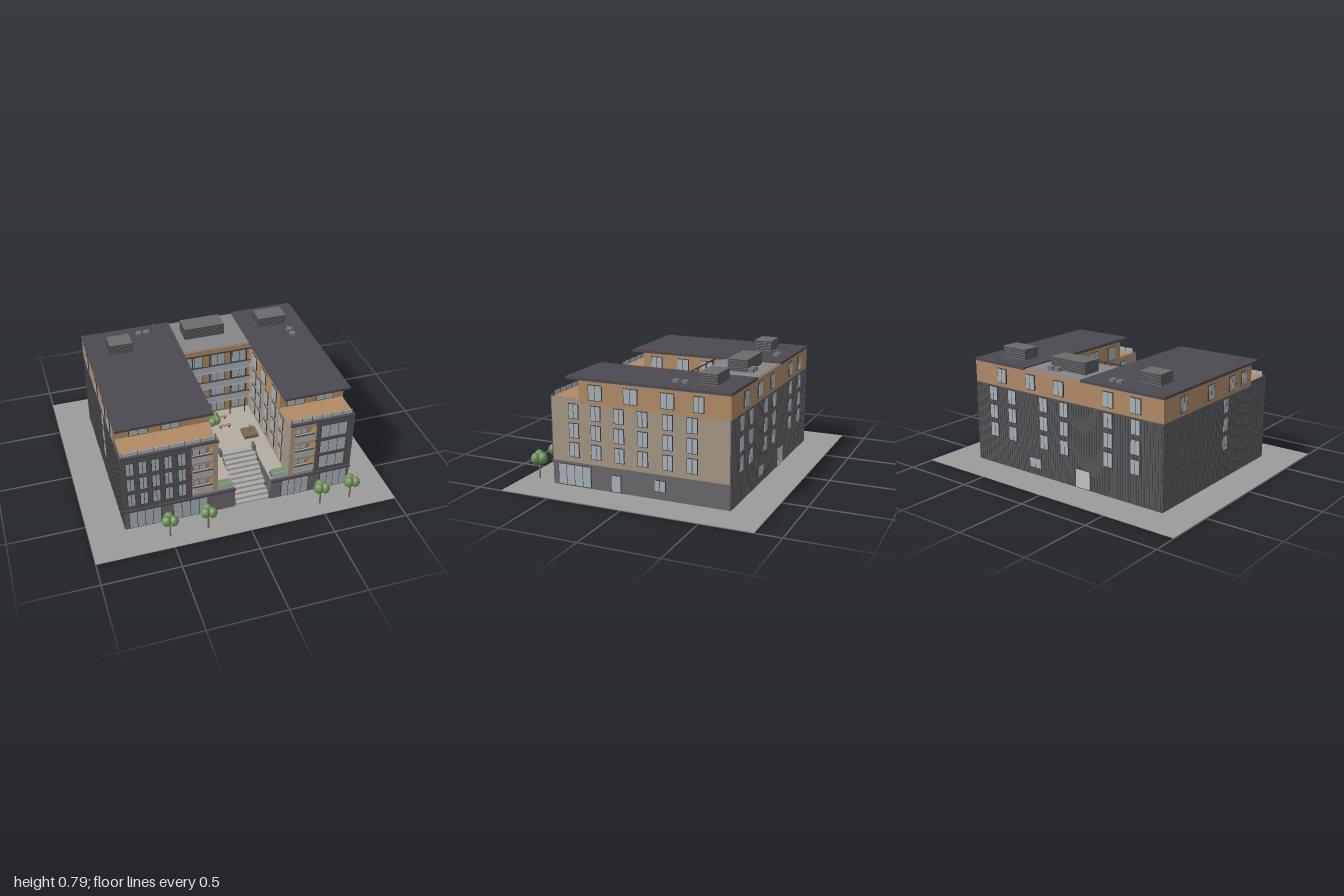
import * as THREE from 'three';

const mats = {};
const mat = (c, flat) => mats[c] ??= new THREE.MeshStandardMaterial({ color: c, flatShading: !!flat });
const DARK = 0x565659, ROOF = 0x4a4a50, PODIUM = 0x69696c, BEIGE = 0xa49683, WOOD = 0xb08a64,
  GLASS = 0xa6b1b6, FRAME = 0x3c3c40, PAVE = 0xb3aca0, PALE = 0xc2c1bc, UNIT = 0x6b6b6e,
  GREEN = 0x6f9458, BARK = 0x7d6750;

export function createModel() {
  const root = new THREE.Group();
  root.name = 'apartmentBlock';

  // Box from minimum and maximum corners
  function box(name, color, x0, x1, y0, y1, z0, z1, parent = root) {
    const m = new THREE.Mesh(new THREE.BoxGeometry(x1 - x0, y1 - y0, z1 - z0), mat(color));
    m.position.set((x0 + x1) / 2, (y0 + y1) / 2, (z0 + z1) / 2);
    m.name = name;
    parent.add(m);
    return m;
  }

  // Wall frames: local z points out of the wall, u is the world coordinate along it
  const faces = {
    front: { rot: 0, s: 1 }, back: { rot: Math.PI, s: -1 },
    left: { rot: Math.PI / 2, s: -1 }, right: { rot: -Math.PI / 2, s: 1 },
  };
  function wall(face, at) {
    const g = new THREE.Group(), f = faces[face];
    g.name = face + 'WallOpenings';
    g.rotation.y = f.rot;
    if (face === 'front' || face === 'back') g.position.z = at; else g.position.x = at;
    g.userData.s = f.s;
    root.add(g);
    return g;
  }
  // Framed window split into panes
  function win(g, u, w, y0, y1, panes = 2, color = GLASS) {
    const c = u * g.userData.s, t = 0.004, pw = (w - t) / panes;
    box('windowFrame', FRAME, c - w / 2, c + w / 2, y0, y1, -0.01, 0.005, g);
    for (let i = 0; i < panes; i++) {
      const x = c - w / 2 + t + i * pw;
      box('windowPane', color, x, x + pw - t, y0 + t, y1 - t, 0, 0.0065, g);
    }
  }
  const rows = [0.2, 0.325, 0.45];
  const grid = (g, us, w) => us.forEach(u => rows.forEach(y => win(g, u, w, y, y + 0.098)));
  // Vertical cladding battens
  function battens(g, u0, u1, y0, y1) {
    const n = Math.round((u1 - u0) / 0.02);
    for (let i = 0; i <= n; i++) {
      const c = (u0 + (u1 - u0) * i / n) * g.userData.s;
      box('batten', 0x4c4c4f, c - 0.002, c + 0.002, y0, y1, -0.002, 0.003, g);
    }
  }

  // Ground and podium with a slot for the stairs
  box('ground', 0x9b9b99, -1, 1, 0, 0.005, -0.835, 0.835);
  box('podium', PODIUM, -0.76, 0.76, 0.005, 0.165, -0.6, 0.24);
  for (const [a, b] of [[-0.76, -0.035], [0.21, 0.76]]) {
    box('podiumFront', PODIUM, a, b, 0.005, 0.165, 0.24, 0.6);
    box('podiumLedge', ROOF, a, b, 0.153, 0.168, 0.595, 0.615);
  }

  // Courtyard paving and stairs
  box('courtyard', PAVE, -0.15, 0.325, 0.165, 0.17, -0.2, 0.24);
  box('courtyard', PAVE, -0.15, -0.035, 0.165, 0.17, 0.24, 0.59);
  box('courtyard', PAVE, 0.21, 0.325, 0.165, 0.17, 0.24, 0.59);
  const steps = 11;
  for (let i = 0; i < steps; i++)
    box('step', 0xaaa9a4, -0.035, 0.21, 0.005, 0.17 * (i + 1) / steps, 0.24, 0.59 - 0.35 * i / steps);
  for (const x of [-0.03, 0.205]) {
    const a = new THREE.Vector3(x, 0.05, 0.59), b = new THREE.Vector3(x, 0.215, 0.27);
    const rail = new THREE.Mesh(new THREE.TubeGeometry(new THREE.LineCurve3(a, b), 1, 0.003, 6), mat(FRAME));
    rail.name = 'handrail';
    root.add(rail);
    for (let i = 0; i < 5; i++) {
      const p = a.clone().lerp(b, i / 4);
      box('railPost', FRAME, x - 0.002, x + 0.002, p.y - 0.045, p.y, p.z - 0.002, p.z + 0.002);
    }
    box('lightBollard', PODIUM, x - 0.008, x + 0.008, 0.17, 0.215, 0.245, 0.29);
  }

  // Wings: x range, clad part of the front, loggia and inner pier
  const wings = [
    { x: [-0.76, -0.15], clad: [-0.76, -0.32], log: [-0.32, -0.18], pier: [-0.18, -0.15], roof: [-0.765, -0.145] },
    { x: [0.325, 0.76], clad: [0.5, 0.76], log: [0.355, 0.5], pier: [0.325, 0.355], roof: [0.32, 0.765] },
  ];
  for (const { x, clad, log, pier, roof } of wings) {
    box('wingBody', BEIGE, ...x, 0.165, 0.58, -0.6, 0.52);
    box('wingFront', BEIGE, ...clad, 0.165, 0.58, 0.52, 0.597);
    box('frontCladding', DARK, clad[0] - 0.002, clad[1], 0.168, 0.585, 0.59, 0.602);
    box('cornerPier', BEIGE, ...pier, 0.165, 0.58, 0.52, 0.6);
    box('topFloor', WOOD, x[0] - 0.002, x[1] + 0.002, 0.555, 0.7, -0.602, 0.4);
    box('roofSlab', ROOF, ...roof, 0.7, 0.717, -0.605, 0.49);
    box('terraceDeck', WOOD, x[0] + 0.006, x[1] - 0.006, 0.58, 0.584, 0.4, 0.58);
    // Terrace parapet and glass
    box('terraceGlass', GLASS, x[0] + 0.012, x[1] - 0.012, 0.58, 0.612, 0.578, 0.582);
    box('terraceEdge', ROOF, ...x, 0.575, 0.588, 0.585, 0.604);
    for (let i = 0; i <= 6; i++) {
      const px = x[0] + 0.012 + (x[1] - x[0] - 0.024) * i / 6;
      box('terracePost', FRAME, px - 0.0015, px + 0.0015, 0.58, 0.614, 0.576, 0.584);
    }
    // Recessed loggias
    box('loggiaBack', WOOD, ...log, 0.17, 0.58, 0.515, 0.524);
    for (const y of [0.165, 0.292, 0.418, 0.546])
      box('loggiaSlab', BEIGE, ...log, y, y + (y > 0.5 ? 0.034 : 0.024), 0.52, 0.6);
    const lw = wall('front', 0.524), mid = (log[0] + log[1]) / 2;
    for (const y of rows) {
      win(lw, mid, 0.09, y - 0.005, y + 0.08);
      box('loggiaGlass', GLASS, log[0] + 0.01, log[1] - 0.005, y - 0.01, y + 0.036, 0.594, 0.598);
      box('loggiaRail', FRAME, log[0], log[1], y + 0.036, y + 0.04, 0.592, 0.6);
      for (const e of log)
        box('loggiaTrim', WOOD, e - 0.004, e + 0.004, y - 0.012, y + 0.094, 0.54, 0.604);
    }
  }

  // Rear block between the wings
  box('rearBlock', WOOD, -0.15, 0.325, 0.165, 0.705, -0.602, -0.2);
  box('rearRoof', 0x858589, -0.15, 0.325, 0.7, 0.708, -0.595, -0.206);

  // Dark cladding on the back and right sides
  box('backCladding', DARK, -0.762, 0.762, 0.005, 0.555, -0.605, -0.598);
  box('sideCladding', DARK, -0.763, -0.755, 0.005, 0.555, -0.604, 0.6);
  box('sideCladdingFront', DARK, -0.763, -0.755, 0.55, 0.585, 0.4, 0.6);

  // Front windows and shopfronts
  const f = wall('front', 0.602);
  battens(f, -0.755, -0.325, 0.17, 0.575);
  battens(f, 0.505, 0.755, 0.17, 0.575);
  grid(f, [-0.71, -0.63, -0.55, -0.47, -0.385], 0.052);
  rows.forEach(y => win(f, 0.62, 0.18, y - 0.005, y + 0.098, 3));
  const shop = wall('front', 0.6);
  for (const [u, w] of [[-0.63, 0.21], [-0.335, 0.23], [0.375, 0.19], [0.645, 0.19]]) win(shop, u, w, 0.01, 0.148, 4);
  const top = wall('front', 0.4);
  for (const u of [-0.605, -0.4, 0.43, 0.63]) win(top, u, 0.12, 0.59, 0.68);

  // Left side
  const l = wall('left', 0.76), lt = wall('left', 0.762);
  grid(l, [0.44, 0.285, 0.125, -0.035, -0.2, -0.36], 0.07);
  for (const [u, w] of [[0.283, 0.095], [0.043, 0.095], [-0.2, 0.09], [-0.4, 0.07]]) win(lt, u, w, 0.58, 0.68);
  win(l, 0.443, 0.235, 0.01, 0.15, 4);
  win(l, 0.15, 0.07, 0.008, 0.12, 1);
  win(l, -0.147, 0.078, 0.055, 0.13);

  // Right side
  const r = wall('right', -0.763);
  battens(r, -0.59, 0.59, 0.01, 0.55);
  grid(r, [0.08], 0.06);
  for (const u of [-0.4, -0.1, 0.15, 0.3]) win(r, u, 0.07, 0.58, 0.68);

  // Back
  const b = wall('back', -0.605);
  battens(b, -0.75, 0.75, 0.01, 0.55);
  grid(b, [0.6, 0.435, 0.16, -0.01, -0.36, -0.565], 0.07);
  for (const u of [0.52, 0.27, 0.03, -0.36, -0.565]) win(b, u, 0.08, 0.58, 0.68);
  win(b, 0.24, 0.1, 0.055, 0.125);
  win(b, -0.16, 0.12, 0.008, 0.135, 1, PALE);

  // Courtyard sides of the wings
  for (const [face, x, e] of [['left', -0.15, 0.002], ['right', 0.325, -0.002]]) {
    grid(wall(face, x), [0.44, 0.3, 0.16, 0.02, -0.08], 0.065);
    const t = wall(face, x + e);
    for (const u of [0.3, 0.1, -0.08]) win(t, u, 0.085, 0.58, 0.68);
  }

  // Rear block gallery balconies
  const rf = wall('front', -0.2);
  for (const y of [0.175, 0.31, 0.435, 0.565]) {
    for (const u of [-0.07, 0.09, 0.25]) win(rf, u, 0.11, y + 0.01, y + 0.105);
    if (y < 0.2) continue;
    box('balconySlab', PALE, -0.148, 0.323, y - 0.012, y, -0.2, -0.135);
    box('balconyGlass', GLASS, -0.13, 0.31, y, y + 0.045, -0.139, -0.135);
    box('balconyRail', FRAME, -0.13, 0.31, y + 0.045, y + 0.049, -0.141, -0.134);
  }
  for (const x of [-0.1, 0.03, 0.17, 0.28])
    box('galleryColumn', FRAME, x - 0.003, x + 0.003, 0.17, 0.705, -0.146, -0.14);
  box('galleryBeam', FRAME, -0.148, 0.323, 0.7, 0.707, -0.146, -0.14);

  // Rooftop plant with louvres, and vents
  for (const [x0, x1, y0, z0, z1] of [[-0.62, -0.465, 0.717, -0.43, -0.31], [-0.09, 0.19, 0.708, -0.49, -0.36], [0.44, 0.635, 0.717, -0.465, -0.345]]) {
    box('plantUnit', UNIT, x0, x1, y0, 0.79, z0, z1);
    for (let y = y0 + 0.008; y < 0.785; y += 0.011)
      box('louvre', FRAME, x0 - 0.002, x1 + 0.002, y, y + 0.004, z0 - 0.002, z1 + 0.002);
  }
  for (const [x, z] of [[-0.38, -0.51], [-0.325, -0.51], [0.115, -0.51], [0.17, -0.51], [0.635, -0.26], [0.635, -0.2]])
    box('roofVent', 0x77777a, x - 0.018, x + 0.018, 0.7, 0.734, z - 0.018, z + 0.018);

  // Courtyard planters and benches
  for (const [x0, x1] of [[-0.148, -0.045], [0.22, 0.323]]) {
    box('planter', PODIUM, x0, x1, 0.17, 0.185, 0.53, 0.59);
    box('hedge', GREEN, x0 + 0.004, x1 - 0.004, 0.185, 0.2, 0.534, 0.586);
    box('courtyardGlass', GLASS, x0, x1, 0.17, 0.218, 0.592, 0.596);
  }
  for (const z of [-0.105, -0.005]) {
    box('benchSeat', WOOD, 0.045, 0.135, 0.188, 0.194, z - 0.01, z + 0.01);
    for (const x of [0.06, 0.12]) box('benchLeg', FRAME, x - 0.003, x + 0.003, 0.17, 0.188, z - 0.008, z + 0.008);
  }
  box('treeBox', BARK, 0.18, 0.28, 0.17, 0.195, 0.065, 0.16);
  box('treeBox', BARK, -0.09, 0.0, 0.17, 0.195, 0.065, 0.15);

  // Trees: trunk and a ring of faceted leaf clumps
  function tree(x, y, z, h, clumps, size, spread) {
    const g = new THREE.Group();
    g.name = 'tree';
    g.position.set(x, y, z);
    const trunk = new THREE.Mesh(new THREE.CylinderGeometry(0.004, 0.006, h, 6), mat(BARK));
    trunk.position.y = h / 2;
    trunk.name = 'trunk';
    g.add(trunk);
    for (let i = 0; i < clumps; i++) {
      const a = i * Math.PI * 2 / clumps + Math.PI / 2;
      const leaf = new THREE.Mesh(new THREE.IcosahedronGeometry(size, 1), mat(GREEN, true));
      leaf.scale.y = 1.2;
      leaf.position.set(Math.cos(a) * spread, h + (i % 2) * size * 0.3, -Math.sin(a) * spread);
      leaf.name = 'leaves';
      g.add(leaf);
    }
    root.add(g);
  }
  for (const x of [-0.505, -0.255, 0.505, 0.715]) tree(x, 0.005, 0.735, 0.138, 3, 0.032, 0.026);
  tree(-0.048, 0.19, 0.105, 0.165, 6, 0.028, 0.04);
  tree(0.23, 0.19, 0.113, 0.045, 1, 0.014, 0);
  return root;
}
